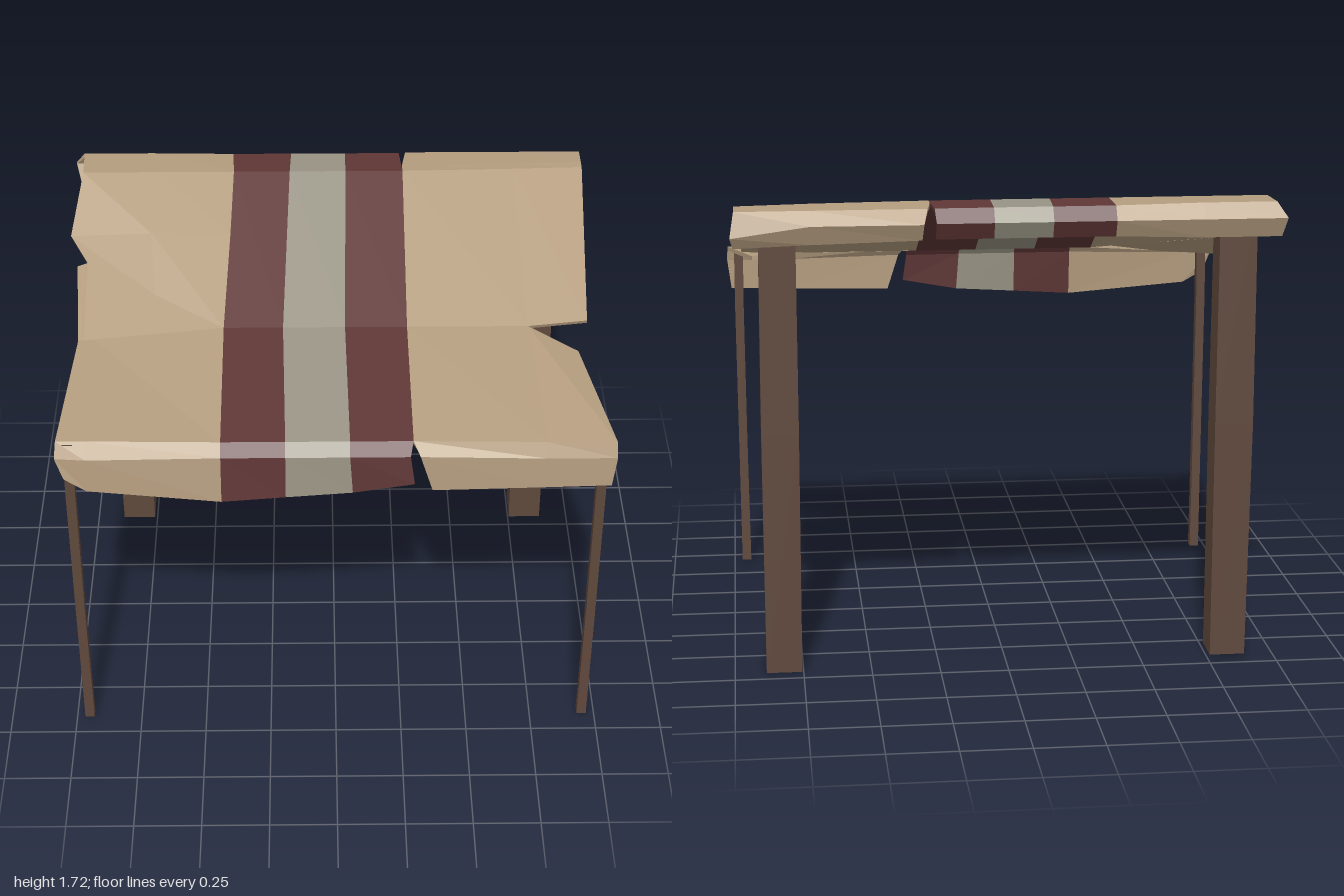
import * as THREE from 'three';

const mat = (name, color) => {
  const m = new THREE.MeshStandardMaterial({ color });
  m.name = name;
  return m;
};

// Solid with flat facets from triangles
function facets(tris, material, name) {
  const g = new THREE.BufferGeometry().setFromPoints(tris);
  g.computeVertexNormals();
  const mesh = new THREE.Mesh(g, material);
  mesh.name = name;
  return mesh;
}

// Cloth panel with thickness: rows run back to front, points left to right
function cloth(rows, material, name, thick = 0.016) {
  const R = rows.length, C = rows[0].length;
  const top = rows.map(r => r.map(p => new THREE.Vector3(...p)));
  const under = top.map((r, i) => r.map((p, j) => {
    const mid = Math.floor(C / 2);
    const along = top[Math.min(i + 1, R - 1)][j].clone().sub(top[Math.max(i - 1, 0)][j]);
    const across = top[i][Math.max(mid, 1)].clone().sub(top[i][0]);
    return p.clone().addScaledVector(along.cross(across).normalize(), -thick);
  }));
  const t = [];
  const quad = (a, b, c, d) => t.push(a, b, c, a, c, d);
  for (let i = 0; i < R - 1; i++) {
    for (let j = 0; j < C - 1; j++) {
      quad(top[i][j], top[i + 1][j], top[i + 1][j + 1], top[i][j + 1]);
      quad(under[i][j], under[i][j + 1], under[i + 1][j + 1], under[i + 1][j]);
    }
    const e = C - 1;
    quad(top[i][0], under[i][0], under[i + 1][0], top[i + 1][0]);
    quad(top[i][e], top[i + 1][e], under[i + 1][e], under[i][e]);
  }
  for (let j = 0; j < C - 1; j++) {
    const e = R - 1;
    quad(top[0][j], top[0][j + 1], under[0][j + 1], under[0][j]);
    quad(top[e][j], under[e][j], under[e][j + 1], top[e][j + 1]);
  }
  return facets(t, material, name);
}

// Square post through a few centre points: [x, y, z, width, depth]
function post(sections, material, name) {
  const rings = sections.map(([x, y, z, w, d]) =>
    [[-1, 1], [1, 1], [1, -1], [-1, -1]].map(([a, b]) => new THREE.Vector3(x + a * w / 2, y, z + b * d / 2)));
  const t = [];
  const quad = (a, b, c, d) => t.push(a, b, c, a, c, d);
  for (let i = 0; i < rings.length - 1; i++) {
    for (let k = 0; k < 4; k++) {
      const n = (k + 1) % 4;
      quad(rings[i][k], rings[i][n], rings[i + 1][n], rings[i + 1][k]);
    }
  }
  const last = rings[rings.length - 1];
  quad(...last);
  quad(...[...rings[0]].reverse());
  return facets(t, material, name);
}

export function createModel() {
  const group = new THREE.Group();
  const tan = mat('tan cloth', 0xb49d7f);
  const maroon = mat('maroon stripe', 0x5f3636);
  const grey = mat('grey stripe', 0x989383);
  const wood = mat('dark wood', 0x5f483c);

  // Stripe boundaries: x per row, with shared heights and depths
  const yz = [[1.60, -0.70], [1.66, -0.73], [1.71, -0.695], [1.715, -0.55],
    [1.43, 0.10], [1.335, 0.68], [1.29, 0.715]];
  const edge = (xs, hemY, hemZ) => [
    ...yz.map(([y, z], i) => [xs[i], y, z]), [xs[7], hemY, hemZ]];
  const edges = [
    edge([-0.385, -0.385, -0.385, -0.38, -0.41, -0.41, -0.41, -0.41], 1.11, 0.735),
    edge([-0.16, -0.16, -0.16, -0.165, -0.19, -0.18, -0.18, -0.18], 1.125, 0.73),
    edge([0.05, 0.05, 0.05, 0.05, 0.04, 0.05, 0.05, 0.06], 1.14, 0.725),
    edge([0.255, 0.255, 0.26, 0.27, 0.27, 0.275, 0.265, 0.28], 1.18, 0.73),
  ];
  [['leftSideStripe', maroon], ['centreStripe', grey], ['rightSideStripe', maroon]].forEach(([name, m], i) => {
    group.add(cloth(edges[i].map((p, r) => [p, edges[i + 1][r]]), m, name));
  });
  const L = edges[0], Rt = edges[3];

  // Tan cloth on the -x side, creased from the torn notch to the stripe
  const notch = [-0.93, 1.52, -0.21];
  group.add(cloth([
    [[-0.985, 1.59, -0.70], [-0.7, 1.59, -0.70], L[0]],
    [[-1.0, 1.66, -0.73], [-0.7, 1.66, -0.73], L[1]],
    [[-0.965, 1.715, -0.695], [-0.7, 1.715, -0.695], L[2]],
    [[-0.96, 1.715, -0.55], [-0.67, 1.715, -0.55], L[3]],
    [[-1.0, 1.565, -0.33], [-0.69, 1.60, -0.29], [-0.39, 1.60, -0.28]],
    [notch, [-0.67, 1.475, -0.055], L[4]],
  ], tan, 'backClothRight'));
  group.add(cloth([
    [[-0.97, 1.505, -0.21], notch, [-0.67, 1.475, -0.055], L[4]],
    [[-0.95, 1.39, 0.12], [-0.93, 1.39, 0.12], [-0.67, 1.41, 0.11], L[4]],
  ], tan, 'creaseCloth'));
  group.add(cloth([
    [[-0.95, 1.39, 0.12], [-0.89, 1.395, 0.12], L[4]],
    [[-0.995, 1.335, 0.67], [-0.89, 1.335, 0.67], L[5]],
    [[-1.0, 1.28, 0.70], [-0.89, 1.28, 0.71], L[6]],
    [[-0.97, 1.2, 0.715], [-0.89, 1.15, 0.72], L[7]],
  ], tan, 'frontClothRight'));

  // Tan cloth on the +x side, torn at both hems and at the side
  group.add(cloth([
    [[0.305, 1.60, -0.715], [0.7, 1.59, -0.71], [0.97, 1.58, -0.705]],
    [[0.30, 1.66, -0.745], [0.7, 1.66, -0.74], [0.98, 1.62, -0.73]],
    [[0.285, 1.71, -0.70], [0.7, 1.71, -0.70], [0.965, 1.71, -0.70]],
    [[0.27, 1.713, -0.6], [0.7, 1.713, -0.6], [0.965, 1.712, -0.62]],
    [Rt[3], [0.7, 1.713, -0.565], [0.965, 1.71, -0.58]],
    [Rt[4], [0.72, 1.43, 0.10], [0.94, 1.44, 0.08]],
  ], tan, 'backClothLeft'));
  group.add(cloth([
    [Rt[4], [0.72, 1.43, 0.10], [0.9, 1.385, 0.20]],
    [Rt[5], [0.75, 1.335, 0.69], [0.998, 1.335, 0.695]],
    [[0.30, 1.29, 0.715], [0.75, 1.28, 0.715], [1.0, 1.28, 0.715]],
    [[0.345, 1.145, 0.72], [0.75, 1.155, 0.72], [0.985, 1.162, 0.72]],
  ], tan, 'frontClothLeft'));

  // Thick back posts
  group.add(post([[-0.825, 0.01, -0.622, 0.13, 0.133], [-0.83, 0.9, -0.625, 0.14, 0.13],
    [-0.83, 1.695, -0.63, 0.135, 0.12]], wood, 'backPostRight'));
  group.add(post([[0.82, 0, -0.622, 0.13, 0.133], [0.818, 0.9, -0.625, 0.135, 0.13],
    [0.815, 1.695, -0.63, 0.13, 0.12]], wood, 'backPostLeft'));
  // Thin, slightly bent front posts
  for (const s of [-1, 1]) {
    group.add(post([[s * 0.95, 0.012, 0.66, 0.036, 0.038], [s * 0.953, 0.55, 0.663, 0.034, 0.042],
      [s * 0.955, 1.1, 0.66, 0.035, 0.04], [s * 0.953, 1.325, 0.66, 0.036, 0.038]],
      wood, s < 0 ? 'frontPostRight' : 'frontPostLeft'));
  }
  return group;
}
